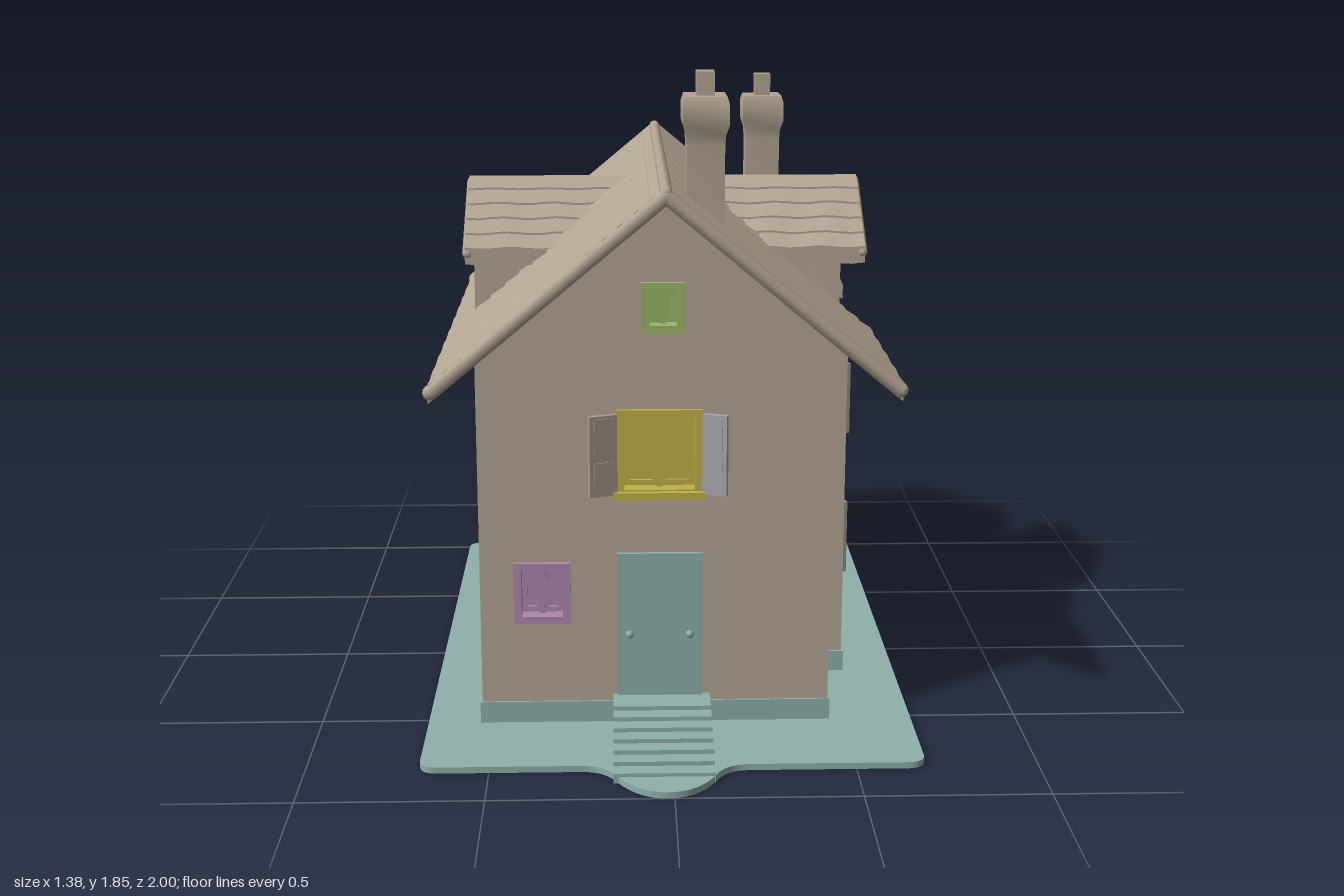
import * as THREE from 'three';
import { toCreasedNormals } from 'three/addons/utils/BufferGeometryUtils.js';

const mat = (color) => new THREE.MeshStandardMaterial({ color });
const STONE = mat(0xb3a593), TEAL = mat(0x8fb0ab), SHUTTER = mat(0xa89b8b);
const RIDGE_X = -0.015, RIDGE_Y = 1.563, SLOPE = 0.832;

function add(parent, name, geometry, material, x = 0, y = 0, z = 0) {
  const mesh = new THREE.Mesh(geometry, material);
  mesh.name = name;
  mesh.position.set(x, y, z);
  parent.add(mesh);
  return mesh;
}
const box = (parent, name, material, w, h, d, x, y, z) =>
  add(parent, name, new THREE.BoxGeometry(w, h, d), material, x, y, z);
const polygon = (points) => new THREE.Shape(points.map(([x, y]) => new THREE.Vector2(x, y)));
const rectPoints = (u, y, w, h) => [[u - w / 2, y - h / 2], [u + w / 2, y - h / 2], [u + w / 2, y + h / 2], [u - w / 2, y + h / 2]];
const extrude = (shape, depth, extra) =>
  new THREE.ExtrudeGeometry(shape, { depth, bevelEnabled: false, curveSegments: 16, ...extra });

// Framed casement; local x runs along the wall, local z points outwards
function makeWindow(parent, { u, y, w, h, color, left = 0, right = 0, leftMat = SHUTTER, rightMat = SHUTTER, sill = true }) {
  const g = new THREE.Group();
  g.name = 'window';
  g.position.set(u, y, 0);
  parent.add(g);
  const m = mat(color);
  const frame = polygon(rectPoints(0, 0, w, h));
  frame.holes.push(polygon(rectPoints(0, 0, w - 0.044, h - 0.044)));
  add(g, 'windowFrame', extrude(frame, 0.056), m, 0, 0, -0.042);
  box(g, 'windowPane', m, w - 0.02, h - 0.02, 0.012, 0, 0, -0.038);
  box(g, 'mullion', m, 0.016, h - 0.03, 0.02, 0, 0, -0.026);
  for (const s of [-1, 1]) {
    const sash = polygon(rectPoints(0, 0, w / 2 - 0.025, h - 0.05));
    sash.holes.push(polygon(rectPoints(0, 0, w / 2 - 0.055, h - 0.08)));
    add(g, 'sash', extrude(sash, 0.012), m, s * (w / 4 - 0.01), 0, -0.034);
  }
  if (sill) box(g, 'windowSill', m, w + 0.015, 0.02, 0.04, 0, -h / 2 + 0.008, 0.012);
  // Shutters hinged at the frame and swung slightly off the wall
  for (const [s, sw, sm] of [[-1, left, leftMat], [1, right, rightMat]]) {
    if (!sw) continue;
    const hinge = new THREE.Group();
    hinge.name = 'shutter';
    hinge.position.set(s * w / 2, 0, 0.014);
    hinge.rotation.y = -s * 0.35;
    g.add(hinge);
    box(hinge, 'shutterLeaf', sm, sw, h - 0.02, 0.016, s * sw / 2, 0, 0);
    for (const k of [-1, 1]) box(hinge, 'shutterPanel', sm, sw - 0.025, h / 2 - 0.035, 0.022, s * sw / 2, k * h / 4, 0);
  }
}

// Wall slab with its openings cut out, windows fitted
function makeWall(parent, name, outline, windows, depth, x, z, turn, extraHoles = []) {
  const g = new THREE.Group();
  g.name = name;
  g.position.set(x, 0, z);
  g.rotation.y = turn;
  parent.add(g);
  const shape = polygon(outline);
  for (const w of windows) shape.holes.push(polygon(rectPoints(w.u, w.y, w.w - 0.01, w.h - 0.01)));
  shape.holes.push(...extraHoles);
  add(g, name + 'Surface', extrude(shape, depth), STONE, 0, 0, -depth);
  windows.forEach((w) => makeWindow(g, w));
  return g;
}

// One pitch of tiled roof: stepped courses, gently uneven; s is the side
function roofPitch(parent, name, s, courses, pitch, slope, z0, z1, step = 0.008) {
  const pts = [[0, 0]];
  for (let i = 1; i <= courses; i++) {
    const x = i * pitch;
    pts.push([s * x, -x * slope + step]);
    pts.push([s * x, -x * slope - (i === courses ? 0.045 : 0)]);
  }
  pts.push([0, -0.045]);
  const geo = extrude(polygon(pts), z1 - z0, { steps: Math.max(2, Math.round((z1 - z0) / 0.04)) });
  const p = geo.attributes.position;
  for (let i = 0; i < p.count; i++) {
    const x = p.getX(i), z = p.getZ(i) + z0;
    p.setY(i, p.getY(i) + 0.003 * Math.sin(z * 38 + Math.abs(x) * 11) * Math.min(1, Math.abs(x) * 10));
  }
  geo.computeVertexNormals();
  add(parent, name, toCreasedNormals(geo, 0.5), STONE, 0, 0, z0);
}

// Rounded strip between two points
function strip(parent, name, a, b, r) {
  const path = new THREE.LineCurve3(new THREE.Vector3(...a), new THREE.Vector3(...b));
  add(parent, name, new THREE.TubeGeometry(path, 1, r, 8), STONE);
  for (const e of [a, b]) add(parent, name + 'End', new THREE.SphereGeometry(r, 8, 6), STONE, ...e);
}

function makeChimney(parent, x, z, w, d, bottom, top) {
  const g = new THREE.Group();
  g.name = 'chimney';
  g.position.set(x, 0, z);
  parent.add(g);
  // Square lathe profile: shaft, flared collar, cap
  const r = Math.SQRT1_2;
  const profile = [[0, bottom], [r, bottom], [r, top - 0.2], [r * 1.04, top - 0.17], [r * 1.22, top - 0.14], [r * 1.22, top - 0.085], [r * 1.1, top - 0.065], [0, top - 0.065]];
  const geo = new THREE.LatheGeometry(profile.map((q) => new THREE.Vector2(...q)), 4, Math.PI / 4);
  geo.scale(w, 1, d);
  add(g, 'chimneyStack', toCreasedNormals(geo, 0.4), STONE);
  box(g, 'chimneyPot', STONE, w * 0.47, 0.085, d * 0.5, 0, top - 0.0425, 0);
}

export function createModel() {
  const house = new THREE.Group();
  house.name = 'house';

  // Ground slab with rounded corners and a bulge at the steps
  const X = 0.69, B = 1, F = -0.84, R = 0.05;
  const ground = new THREE.Shape();
  ground.moveTo(-X + R, B).quadraticCurveTo(-X, B, -X, B - R).lineTo(-X, F + R).quadraticCurveTo(-X, F, -X + R, F);
  ground.lineTo(-0.25, F).quadraticCurveTo(-0.19, F, -0.16, -0.89).quadraticCurveTo(-0.1, -1, -0.02, -1);
  ground.quadraticCurveTo(0.07, -1, 0.12, -0.89).quadraticCurveTo(0.15, F, 0.21, F);
  ground.lineTo(X - R, F).quadraticCurveTo(X, F, X, F + R).lineTo(X, B - R).quadraticCurveTo(X, B, X - R, B);
  add(house, 'groundSlab', extrude(ground, 0.018).rotateX(-Math.PI / 2), TEAL);

  // Plinth and front steps
  box(house, 'plinth', TEAL, 0.997, 0.068, 1.372, -0.0425, 0.046, -0.13);
  box(house, 'bayPlinth', TEAL, 0.1, 0.068, 0.692, 0.486, 0.046, -0.14);
  for (let i = 0; i < 7; i++) {
    const h = 0.1 - i * 0.012, front = 0.64 + i * 0.045;
    box(house, 'step', TEAL, 0.275, h, front - 0.55, -0.025, h / 2, (front + 0.55) / 2);
  }

  // Front and back gable walls
  const gable = (m) => [[-0.535 * m, 0.02], [0.45 * m, 0.02], [0.45 * m, 1.143], [RIDGE_X * m, 1.53], [-0.535 * m, 1.097]];
  const door = { u: -0.03, y: 0.31, w: 0.24, h: 0.43 };
  const front = makeWall(house, 'frontWall', gable(1), [
    { u: -0.02, y: 1.225, w: 0.12, h: 0.14, color: 0x9ab568, sill: false },
    { u: -0.03, y: 0.815, w: 0.24, h: 0.25, color: 0xc0b048, left: 0.08, right: 0.07, rightMat: mat(0xa6a5ad) },
    { u: -0.36, y: 0.408, w: 0.16, h: 0.18, color: 0xb088ad, sill: false },
  ], 0.06, 0, 0.55, 0, [polygon(rectPoints(door.u, door.y, 0.23, 0.42))]);
  makeWall(house, 'backWall', gable(-1), [
    { u: 0.015, y: 1.225, w: 0.11, h: 0.14, color: 0xc48585, sill: false },
    { u: 0.05, y: 0.815, w: 0.27, h: 0.25, color: 0xb0ac92, left: 0.09 },
    { u: 0.03, y: 0.415, w: 0.23, h: 0.17, color: 0xa09db0, sill: false },
  ], 0.06, 0, -0.81, Math.PI);

  // Front door
  const doorFrame = polygon(rectPoints(0, 0, door.w, door.h));
  doorFrame.holes.push(polygon(rectPoints(0, -0.015, door.w - 0.04, door.h - 0.02)));
  add(front, 'doorFrame', extrude(doorFrame, 0.05), TEAL, door.u, door.y, -0.038);
  box(front, 'door', TEAL, 0.21, 0.42, 0.02, door.u, door.y - 0.005, -0.02);
  for (const [y, h] of [[0.205, 0.12], [0.41, 0.17]]) box(front, 'doorPanel', TEAL, 0.14, h, 0.01, door.u, y, -0.008);
  for (const x of [-0.115, 0.055]) {
    add(front, 'doorKnob', new THREE.SphereGeometry(0.012, 10, 8), TEAL, x, 0.285, 0.012);
    box(front, 'doorHandle', TEAL, 0.05, 0.01, 0.012, x, 0.285, 0);
  }

  // Side walls; the +x side steps out into a bay that rises as a dormer
  makeWall(house, 'plainSideWall', [[-0.78, 0.02], [0.52, 0.02], [0.52, 1.1], [-0.78, 1.1]], [
    { u: -0.16, y: 0.815, w: 0.22, h: 0.24, color: 0xa8a4b0, left: 0.05, right: 0.05 },
    { u: -0.16, y: 0.367, w: 0.22, h: 0.25, color: 0x9ac0be, left: 0.05, right: 0.05 },
  ], 0.06, -0.535, 0, -Math.PI / 2);
  makeWall(house, 'baySideWall', [[-0.52, 0.02], [0.78, 0.02], [0.78, 1.14], [-0.52, 1.14]], [], 0.06, 0.45, 0, Math.PI / 2);
  const porthole = new THREE.Path().absarc(0.225, 1.235, 0.05, 0, Math.PI * 2);
  const bay = makeWall(house, 'bayWall',
    [[-0.2, 0.02], [0.48, 0.02], [0.48, 1.28], [0.255, 1.45], [0.03, 1.28], [0.03, 1.08], [-0.2, 1.08]], [
      { u: 0.195, y: 0.815, w: 0.25, h: 0.24, color: 0xa9bbb0, left: 0.05, right: 0.06 },
      { u: 0.195, y: 0.367, w: 0.25, h: 0.25, color: 0x9d84a3, left: 0.05, right: 0.06 },
    ], 0.085, 0.53, 0, Math.PI / 2, [porthole]);
  const yellow = mat(0xbcb465);
  add(bay, 'roundWindowFrame', new THREE.TorusGeometry(0.05, 0.009, 8, 24), yellow, 0.225, 1.235, 0);
  add(bay, 'roundWindowPane', new THREE.CircleGeometry(0.052, 24), yellow, 0.225, 1.235, -0.025);

  // Main roof, cut back on the +x side behind the dormer
  const roof = new THREE.Group();
  roof.name = 'mainRoof';
  roof.position.set(RIDGE_X, RIDGE_Y, 0);
  house.add(roof);
  const P = 0.637 / 15;
  roofPitch(roof, 'plainRoofPitch', -1, 15, P, SLOPE, -0.925, 0.675);
  roofPitch(roof, 'frontRoofPitch', 1, 15, P, SLOPE, -0.03, 0.675);
  roofPitch(roof, 'shortRoofPitch', 1, 12, P, SLOPE, -0.7, -0.03);
  roofPitch(roof, 'backRoofPitch', 1, 15, P, SLOPE, -0.925, -0.7);
  strip(roof, 'ridge', [0, -0.008, -0.925], [0, -0.008, 0.67], 0.017);
  for (const z of [-0.92, 0.67]) {
    for (const s of [-1, 1]) strip(roof, 'bargeBoard', [0, -0.018, z], [s * 0.63, -0.018 - 0.63 * SLOPE, z], 0.021);
  }

  // Dormers: gabled body and small tiled roof on each side
  for (const s of [1, -1]) {
    const dormer = new THREE.Group();
    dormer.name = 'dormer';
    dormer.position.z = -0.258;
    dormer.rotation.y = s * Math.PI / 2;
    house.add(dormer);
    const face = s > 0 ? 0.47 : 0.575;
    const body = polygon([[-0.225, 1.06], [0.225, 1.06], [0.225, 1.28], [0, 1.445], [-0.225, 1.28]]);
    add(dormer, 'dormerBody', extrude(body, face - 0.12), STONE, 0, 0, 0.12);
    const top = new THREE.Group();
    top.name = 'dormerRoof';
    top.position.y = 1.475;
    dormer.add(top);
    for (const k of [-1, 1]) {
      roofPitch(top, 'dormerPitch', k, 5, 0.052, 0.72, 0.06, 0.6, 0.006);
      strip(top, 'dormerBargeBoard', [0, -0.018, 0.592], [k * 0.25, -0.2, 0.592], 0.016);
    }
  }

  makeChimney(house, 0.1, 0.353, 0.105, 0.14, 1.38, 1.845);
  makeChimney(house, 0.308, -0.327, 0.103, 0.112, 1.2, 1.782);
  return house;
}
